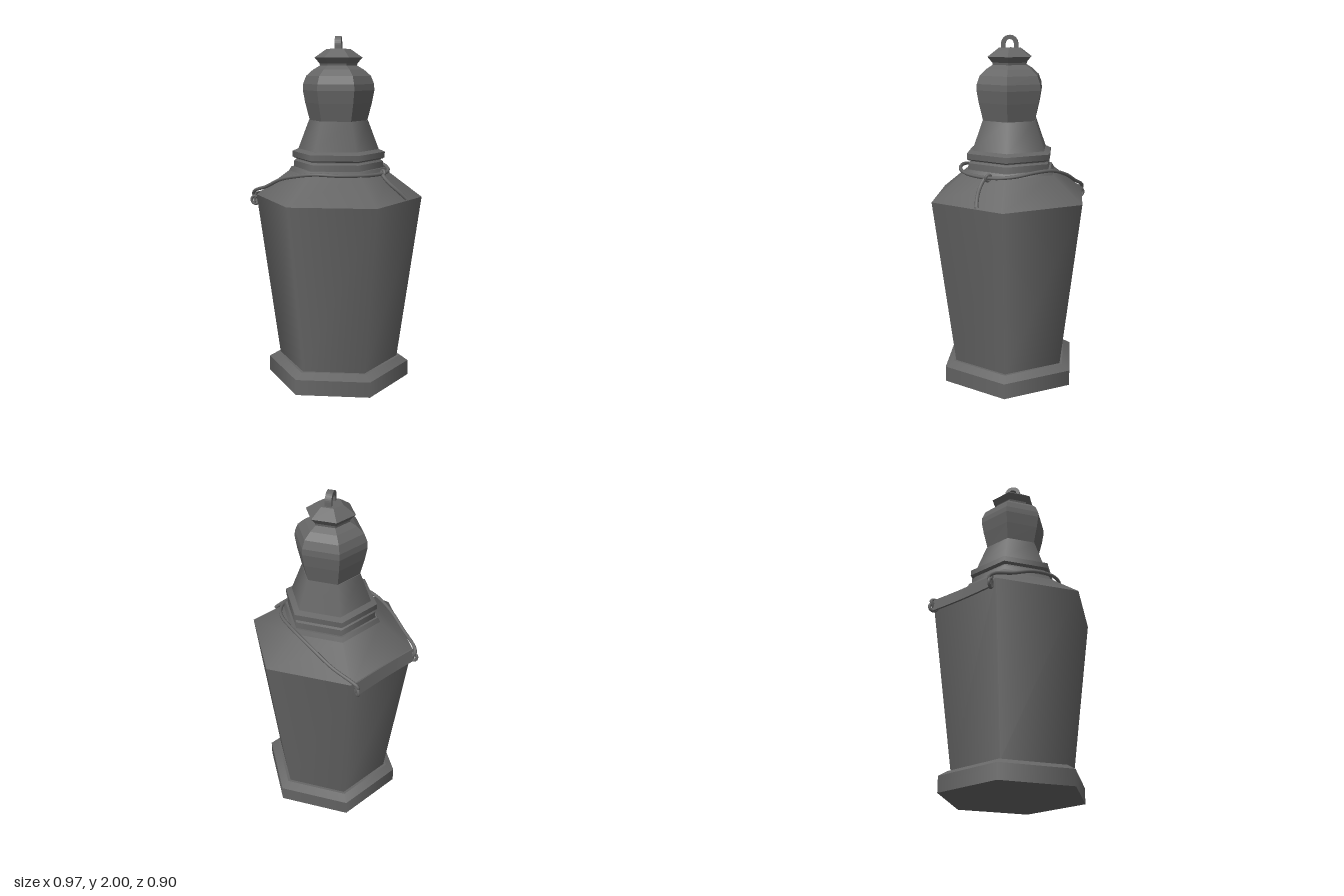
import * as THREE from 'three';

const material = new THREE.MeshStandardMaterial({ color: 0x666666, side: THREE.DoubleSide });
const faceted = new THREE.MeshStandardMaterial({ color: 0x666666, side: THREE.DoubleSide, flatShading: true });
const AXIS_Z = 0.018; // the vessel stands slightly forward of the hanging tag

export function createModel() {
  const model = new THREE.Group();
  const vec = (p) => new THREE.Vector3(...p);

  function add(parent, name, geometry, mat = material) {
    const mesh = new THREE.Mesh(geometry, mat);
    mesh.name = name;
    parent.add(mesh);
    return mesh;
  }

  // Stacked six-sided rings from a [radius, height] profile, corners on the x axis
  function hexStack(parent, name, profile, mat = material) {
    const part = new THREE.Group();
    part.name = name;
    for (let i = 0; i < profile.length - 1; i++) {
      const [r0, y0] = profile[i];
      const [r1, y1] = profile[i + 1];
      const geo = new THREE.CylinderGeometry(r1, r0, y1 - y0, 6, 1, true, Math.PI / 2);
      geo.translate(0, (y0 + y1) / 2, 0);
      add(part, name + 'Band' + (i + 1), geo, mat);
    }
    // flat caps at both ends
    [[profile[0], Math.PI / 2], [profile[profile.length - 1], -Math.PI / 2]].forEach(([[r, y], turn], i) => {
      const cap = new THREE.CircleGeometry(r, 6).rotateX(turn).translate(0, y, 0);
      add(part, name + (i ? 'Top' : 'Bottom'), cap, mat);
    });
    parent.add(part);
  }

  function cord(parent, name, points, radius, segments) {
    const curve = new THREE.CatmullRomCurve3(points.map(vec));
    return add(parent, name, new THREE.TubeGeometry(curve, segments, radius, 8));
  }

  // Vessel
  const vessel = new THREE.Group();
  vessel.name = 'vessel';
  vessel.position.z = AXIS_Z;
  model.add(vessel);
  hexStack(vessel, 'foot', [[0.42, 0], [0.42, 0.09], [0.37, 0.12]]);
  hexStack(vessel, 'body', [[0.352, 0.115], [0.484, 1.09]]);
  hexStack(vessel, 'shoulder', [[0.484, 1.09], [0.29, 1.235], [0.275, 1.26]]);
  hexStack(vessel, 'neck', [[0.262, 1.255], [0.258, 1.295], [0.245, 1.305], [0.245, 1.32]]);

  // Stopper
  hexStack(vessel, 'collar', [[0.255, 1.31], [0.268, 1.318], [0.268, 1.35], [0.235, 1.365]]);
  hexStack(vessel, 'lid', [[0.235, 1.36], [0.17, 1.53]]);
  hexStack(vessel, 'finial', [[0.165, 1.525], [0.192, 1.63], [0.205, 1.7], [0.203, 1.735],
    [0.185, 1.78], [0.145, 1.815], [0.105, 1.838]], faceted);
  hexStack(vessel, 'knob', [[0.105, 1.835], [0.108, 1.85], [0.137, 1.882], [0.068, 1.93]], faceted);

  // Arched loop on the knob
  const arch = new THREE.Shape();
  arch.moveTo(-0.047, 0);
  arch.lineTo(0.047, 0);
  arch.lineTo(0.047, 0.033);
  arch.absarc(0, 0.033, 0.047, 0, Math.PI, false);
  const opening = new THREE.Path();
  opening.moveTo(-0.024, 0.003);
  opening.lineTo(-0.024, 0.033);
  opening.absarc(0, 0.033, 0.024, Math.PI, 0, true);
  opening.lineTo(0.024, 0.003);
  arch.holes.push(opening);
  const loopGeo = new THREE.ExtrudeGeometry(arch, { depth: 0.036, bevelEnabled: false, curveSegments: 8 });
  loopGeo.translate(0, 0, -0.018);
  const loop = add(vessel, 'hangingLoop', loopGeo, faceted);
  loop.position.y = 1.92;
  loop.rotation.y = Math.PI / 6;

  // Cord around the shoulder, hooked through the tag at the back
  cord(model, 'cord', [
    [-0.222, 1.04, -0.415], [-0.226, 1.09, -0.438], [-0.24, 1.112, -0.415], [-0.272, 1.15, -0.3],
    [-0.3, 1.205, -0.17], [-0.316, 1.235, -0.04], [-0.298, 1.25, 0.07], [-0.235, 1.245, 0.18],
    [-0.13, 1.24, 0.265], [0, 1.237, 0.295], [0.1, 1.24, 0.288], [0.19, 1.25, 0.235],
    [0.255, 1.265, 0.145], [0.285, 1.26, 0.02], [0.285, 1.215, -0.14], [0.267, 1.155, -0.28],
    [0.237, 1.112, -0.405], [0.225, 1.09, -0.438], [0.218, 1.04, -0.415],
  ], 0.01, 140);

  // Knot and loose end at the front
  const knot = add(model, 'knot', new THREE.TorusGeometry(0.017, 0.009, 8, 16));
  knot.position.set(0.045, 1.237, 0.293);
  knot.rotation.set(0.5, 1.1, 0);
  const tail = cord(model, 'cordTail', [
    [0.05, 1.245, 0.283], [0.027, 1.225, 0.308], [0.028, 1.185, 0.35],
    [0.045, 1.145, 0.395], [0.07, 1.1, 0.437],
  ], 0.011, 30);
  tail.castShadow = false;

  // Tag hanging behind the shoulder, with its cord rings
  const tag = new THREE.Group();
  tag.name = 'tag';
  tag.position.set(-0.003, 1.065, -0.422);
  tag.rotation.x = 0.2;
  model.add(tag);
  const plate = new THREE.BoxGeometry(0.46, 0.075, 0.01, 12, 1, 1);
  const pos = plate.attributes.position;
  for (let i = 0; i < pos.count; i++) {
    // gentle bow along the length
    pos.setZ(i, pos.getZ(i) + 0.006 * Math.cos((pos.getX(i) / 0.23) * Math.PI / 2));
  }
  plate.computeVertexNormals();
  add(tag, 'tagPlate', plate);
  for (const side of [-1, 1]) {
    const ring = add(tag, side > 0 ? 'leftTagRing' : 'rightTagRing', new THREE.TorusGeometry(0.024, 0.009, 8, 18));
    ring.position.set(side * 0.222, -0.012, 0);
    ring.rotation.y = Math.PI / 2 - side * 0.4;
  }
  return model;
}
